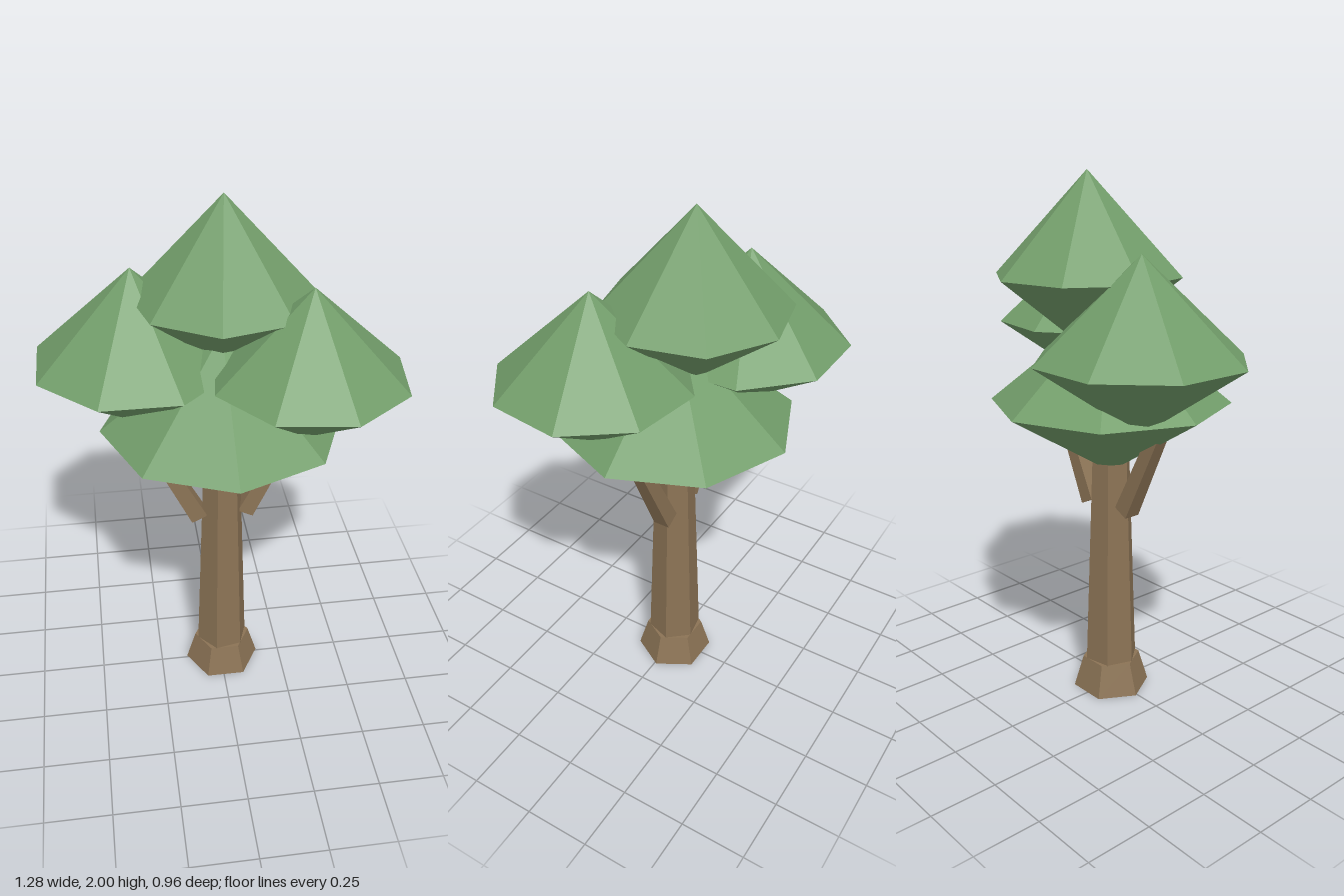
import * as THREE from 'three';

export function createModel() {
  const bark = new THREE.MeshStandardMaterial({ color: 0x8b7355 });
  bark.name = 'barkBrown';
  const leaf = new THREE.MeshStandardMaterial({ color: 0x729d6a });
  leaf.name = 'leafGreen';

  const tree = new THREE.Group();
  tree.name = 'tree';
  const cx = 0.007, cz = -0.008; // trunk axis

  // Non-indexed geometry with face normals gives the faceted look
  function faceted(geometry) {
    const g = geometry.toNonIndexed();
    g.computeVertexNormals();
    return g;
  }
  function add(name, geometry, material, parent = tree) {
    const mesh = new THREE.Mesh(faceted(geometry), material);
    mesh.name = name;
    parent.add(mesh);
    return mesh;
  }
  const deg = THREE.MathUtils.degToRad;

  // Flared root base and tapered six-sided trunk
  const base = add('rootFlare', new THREE.CylinderGeometry(0.112, 0.149, 0.125, 6), bark);
  base.position.set(cx, 0.0625, cz);
  base.rotation.y = deg(30);
  const trunk = add('trunk', new THREE.CylinderGeometry(0.073, 0.108, 1.0, 6), bark);
  trunk.position.set(cx, 0.502, cz);
  trunk.rotation.y = deg(41);

  // Square branches leaning out to both sides, running up into the leaves
  for (const [name, side, z] of [['leftBranch', 1, -0.022], ['rightBranch', -1, -0.008]]) {
    const length = 0.4;
    const g = new THREE.CylinderGeometry(0.035, 0.046, length, 4);
    g.rotateY(Math.PI / 4);
    g.translate(0, length / 2, 0);
    const branch = add(name, g, bark);
    branch.position.set(cx + side * 0.09, 0.76, z);
    branch.rotation.z = -side * deg(26.6);
  }

  // Leaf clusters: a tall cone above the rim, a shallower one below
  const clusters = [
    // name, x, rim y, z, radius, height above, depth below, turn in degrees
    ['lowerFoliage', 0.007, 1.172, -0.01, 0.446, 0.367, 0.275, 0],
    ['rightFoliage', -0.295, 1.39, -0.135, 0.377, 0.352, 0.262, 22.5],
    ['leftFoliage', 0.293, 1.425, 0.135, 0.354, 0.328, 0.248, 14.5],
    ['topFoliage', 0.025, 1.64, -0.1, 0.339, 0.36, 0.27, 36.5],
  ];
  for (const [name, x, y, z, r, up, down, turn] of clusters) {
    const cluster = new THREE.Group();
    cluster.name = name;
    cluster.position.set(x, y, z);
    cluster.rotation.y = deg(turn);
    const crown = new THREE.ConeGeometry(r, up, 8, 1, true);
    crown.translate(0, up / 2, 0);
    add(name + 'Crown', crown, leaf, cluster);
    const underside = new THREE.CylinderGeometry(r, 0, down, 8, 1, true);
    underside.translate(0, -down / 2, 0);
    add(name + 'Underside', underside, leaf, cluster);
    tree.add(cluster);
  }

  return tree;
}
